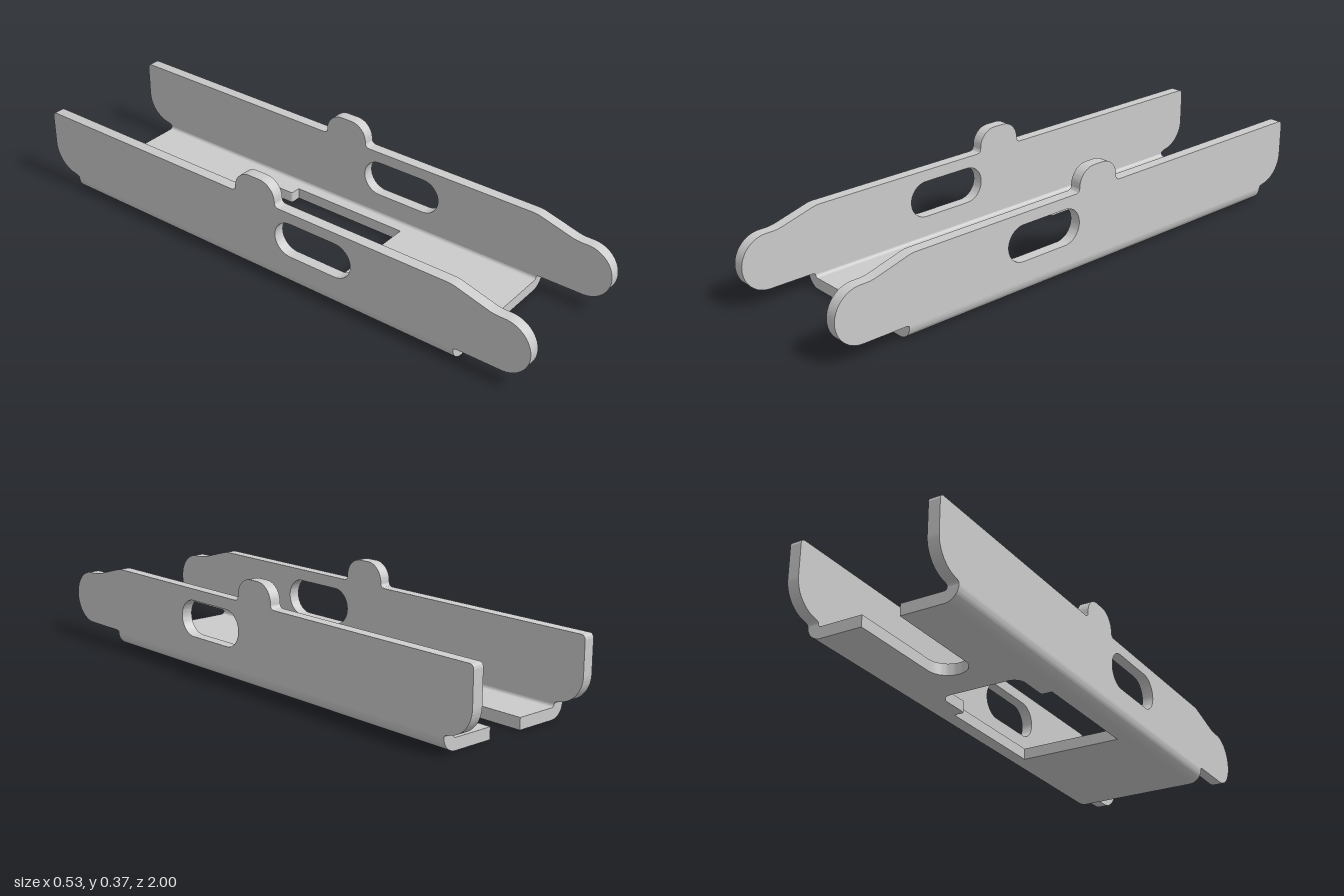
import * as THREE from 'three';
import { toCreasedNormals } from 'three/addons/utils/BufferGeometryUtils.js';

const OUTER = 0.265, THICK = 0.04, BEND = 0.05;
const BACK = -0.895, FRONT = 0.735;
const material = new THREE.MeshStandardMaterial({ color: 0xcccccc });

function extrude(shape, depth) {
  return new THREE.ExtrudeGeometry(shape, { depth, bevelEnabled: false, curveSegments: 14 });
}

function addPart(group, name, geometry) {
  const mesh = new THREE.Mesh(toCreasedNormals(geometry, 0.5), material);
  mesh.name = name;
  group.add(mesh);
}

// Side plate outline: shape x is the model's z, shape y is up
function sidePlateShape() {
  const s = new THREE.Shape();
  s.moveTo(0.755, 0.055);
  s.absarc(0.905, 0.15, 0.095, -Math.PI / 2, Math.PI / 2); // rounded nose
  s.lineTo(0.88, 0.245);
  s.quadraticCurveTo(0.86, 0.246, 0.84, 0.252);
  s.lineTo(0.73, 0.283);
  s.quadraticCurveTo(0.715, 0.287, 0.7, 0.287);
  s.lineTo(0.05, 0.287);
  s.quadraticCurveTo(0.033, 0.287, 0.033, 0.305); // round tab on the top edge
  s.absarc(-0.03, 0.305, 0.063, 0, Math.PI / 2);
  s.absarc(-0.07, 0.305, 0.063, Math.PI / 2, Math.PI);
  s.quadraticCurveTo(-0.133, 0.287, -0.15, 0.287);
  s.lineTo(-0.985, 0.287);
  s.absarc(-0.985, 0.272, 0.015, Math.PI / 2, Math.PI);
  s.absarc(-0.9, 0.16, 0.1, Math.PI, Math.PI * 1.45); // rounded rear heel
  s.quadraticCurveTo(BACK, 0.058, BACK, BEND);
  s.lineTo(FRONT, BEND);
  s.quadraticCurveTo(FRONT, 0.055, 0.755, 0.055);

  // Oblong hole
  const r = 0.0635, y = 0.1835;
  const hole = new THREE.Path();
  hole.absarc(0.34 - r, y, r, -Math.PI / 2, Math.PI / 2);
  hole.absarc(0.033 + r, y, r, Math.PI / 2, Math.PI * 1.5);
  hole.closePath();
  s.holes.push(hole);
  return s;
}

// Floor outline: shape y is the model's -z
function floorShape() {
  const w = OUTER - BEND, slot = 0.067;
  const s = new THREE.Shape();
  s.moveTo(-w, -FRONT);
  s.lineTo(w, -FRONT);
  s.lineTo(w, -BACK);
  s.lineTo(slot, -BACK);
  s.absarc(0, 0.487 + slot, slot, 0, -Math.PI, true); // open slot at the back
  s.lineTo(-slot, -BACK);
  s.lineTo(-w, -BACK);
  s.closePath();

  // Stepped window
  const win = new THREE.Path();
  win.moveTo(-0.183, -0.22);
  win.lineTo(0.183, -0.22);
  win.lineTo(0.183, 0.23);
  win.lineTo(0.155, 0.23);
  win.quadraticCurveTo(0.145, 0.23, 0.145, 0.24);
  win.absarc(0.105, 0.33, 0.04, 0, Math.PI / 2);
  win.absarc(-0.105, 0.33, 0.04, Math.PI / 2, Math.PI);
  win.lineTo(-0.145, 0.24);
  win.quadraticCurveTo(-0.145, 0.23, -0.155, 0.23);
  win.lineTo(-0.183, 0.23);
  win.closePath();
  s.holes.push(win);
  return s;
}

// Quarter-round bend joining floor and side plate
function bendGeometry(side) {
  const c = OUTER - BEND;
  const arc = (r, i, n) => {
    const a = -Math.PI / 2 * (1 - i / n);
    return new THREE.Vector2(side * (c + r * Math.cos(a)), BEND + r * Math.sin(a));
  };
  const points = [];
  for (let i = 0; i <= 14; i++) points.push(arc(BEND, i, 14));
  for (let i = 6; i >= 0; i--) points.push(arc(BEND - THICK, i, 6));
  return extrude(new THREE.Shape(points), FRONT - BACK).translate(0, 0, BACK);
}

export function createModel() {
  const group = new THREE.Group();
  group.name = 'channelBracket';

  addPart(group, 'floor', extrude(floorShape(), THICK).rotateX(-Math.PI / 2));

  for (const [label, side] of [['left', 1], ['right', -1]]) {
    const plate = extrude(sidePlateShape(), THICK).rotateY(-Math.PI / 2);
    plate.translate(side > 0 ? OUTER : THICK - OUTER, 0, 0);
    addPart(group, label + 'SidePlate', plate);
    addPart(group, label + 'Bend', bendGeometry(side));
  }
  return group;
}
